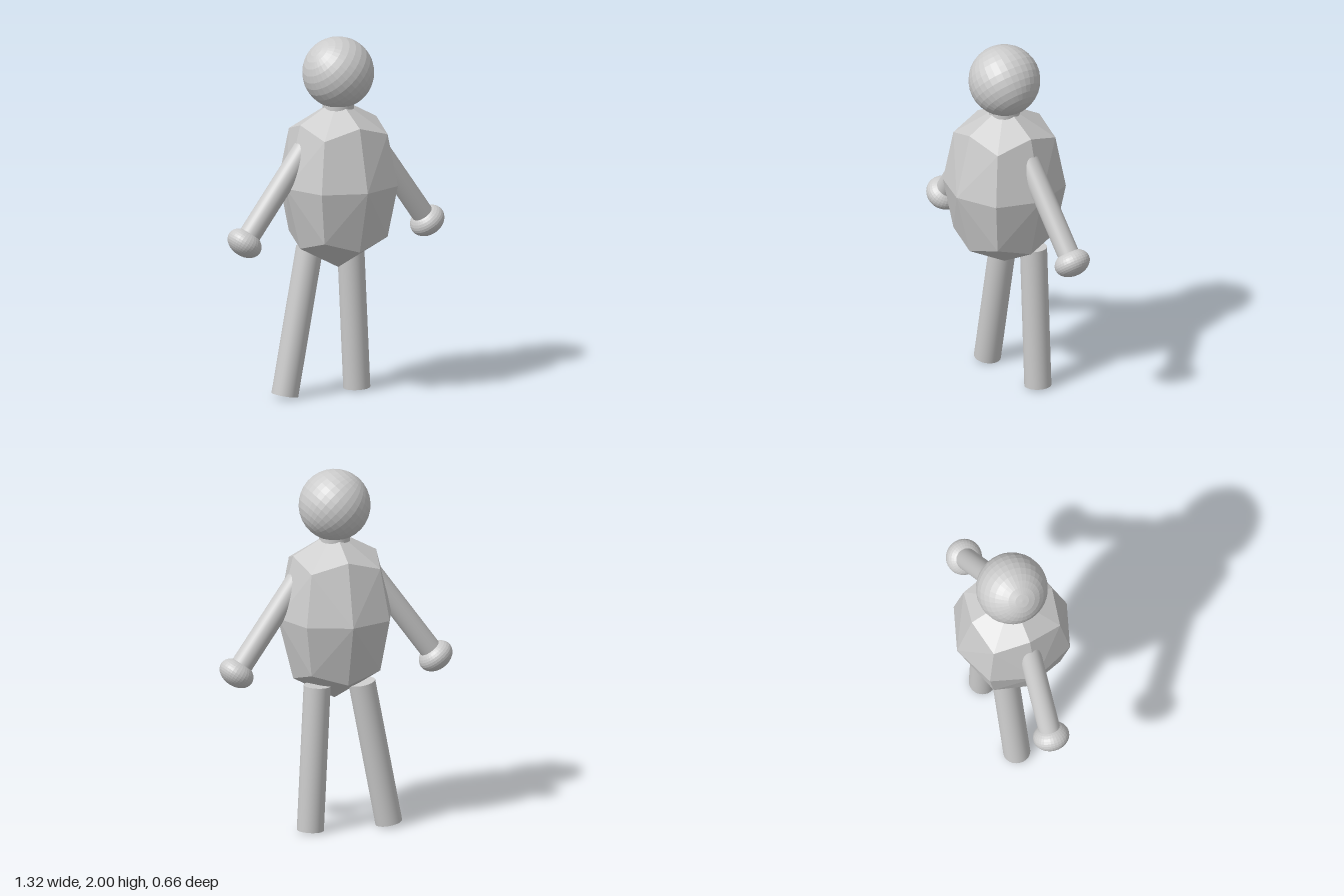
import * as THREE from 'three';
import { ConvexGeometry } from 'three/addons/geometries/ConvexGeometry.js';

const flat = new THREE.MeshStandardMaterial({ color: 0xcccccc, flatShading: true });
const smooth = new THREE.MeshStandardMaterial({ color: 0xcccccc });
const UP = new THREE.Vector3(0, 1, 0);

// Straight round limb between two points
function limb(name, from, to, radius) {
  const a = new THREE.Vector3(...from);
  const dir = new THREE.Vector3(...to).sub(a);
  const mesh = new THREE.Mesh(new THREE.CylinderGeometry(radius, radius, dir.length(), 32), smooth);
  mesh.name = name;
  mesh.position.copy(a).addScaledVector(dir, 0.5);
  mesh.quaternion.setFromUnitVectors(UP, dir.normalize());
  return mesh;
}

// Faceted torso: a 3 x 3 x 3 lattice pushed outwards into a rounded, elongated block
function torso() {
  const reach = [0, 1, 0.73, 0.605]; // face centre, edge middle, corner
  const points = [];
  for (let x = -1; x <= 1; x++)
    for (let y = -1; y <= 1; y++)
      for (let z = -1; z <= 1; z++) {
        const s = reach[Math.abs(x) + Math.abs(y) + Math.abs(z)];
        if (s) points.push(new THREE.Vector3(x * s * 0.325, y * s * 0.472, z * s * 0.328));
      }
  const mesh = new THREE.Mesh(new ConvexGeometry(points), flat);
  mesh.name = 'torso';
  mesh.position.y = 1.19;
  return mesh;
}

export function createModel() {
  const model = new THREE.Group();
  model.name = 'figure';
  model.add(torso());

  // Head, with its poles tilted to the side
  const head = new THREE.Mesh(new THREE.SphereGeometry(0.196, 32, 16), flat);
  head.name = 'head';
  head.position.y = 1.804;
  head.rotation.z = Math.PI / 4;
  model.add(head);

  model.add(limb('neck', [0, 1.55, 0], [0, 1.63, 0], 0.085));

  // Arms with flattened hands across their ends
  for (const [side, s] of [['left', 1], ['right', -1]]) {
    const wrist = [s * 0.57, 0.909, -0.026];
    const arm = limb(side + 'Arm', [s * 0.195, 1.425, 0.002], wrist, 0.06);
    const hand = new THREE.Mesh(new THREE.SphereGeometry(0.1, 32, 16), flat);
    hand.name = side + 'Hand';
    hand.position.set(...wrist);
    hand.quaternion.copy(arm.quaternion);
    hand.scale.y = 0.72;
    model.add(arm, hand);
  }

  // Legs, the right one set wider than the left
  model.add(limb('leftLeg', [0.132, 0.822, -0.098], [0.171, 0.01, -0.098], 0.074));
  model.add(limb('rightLeg', [-0.124, 0.82, -0.098], [-0.278, 0.016, -0.098], 0.074));
  return model;
}
